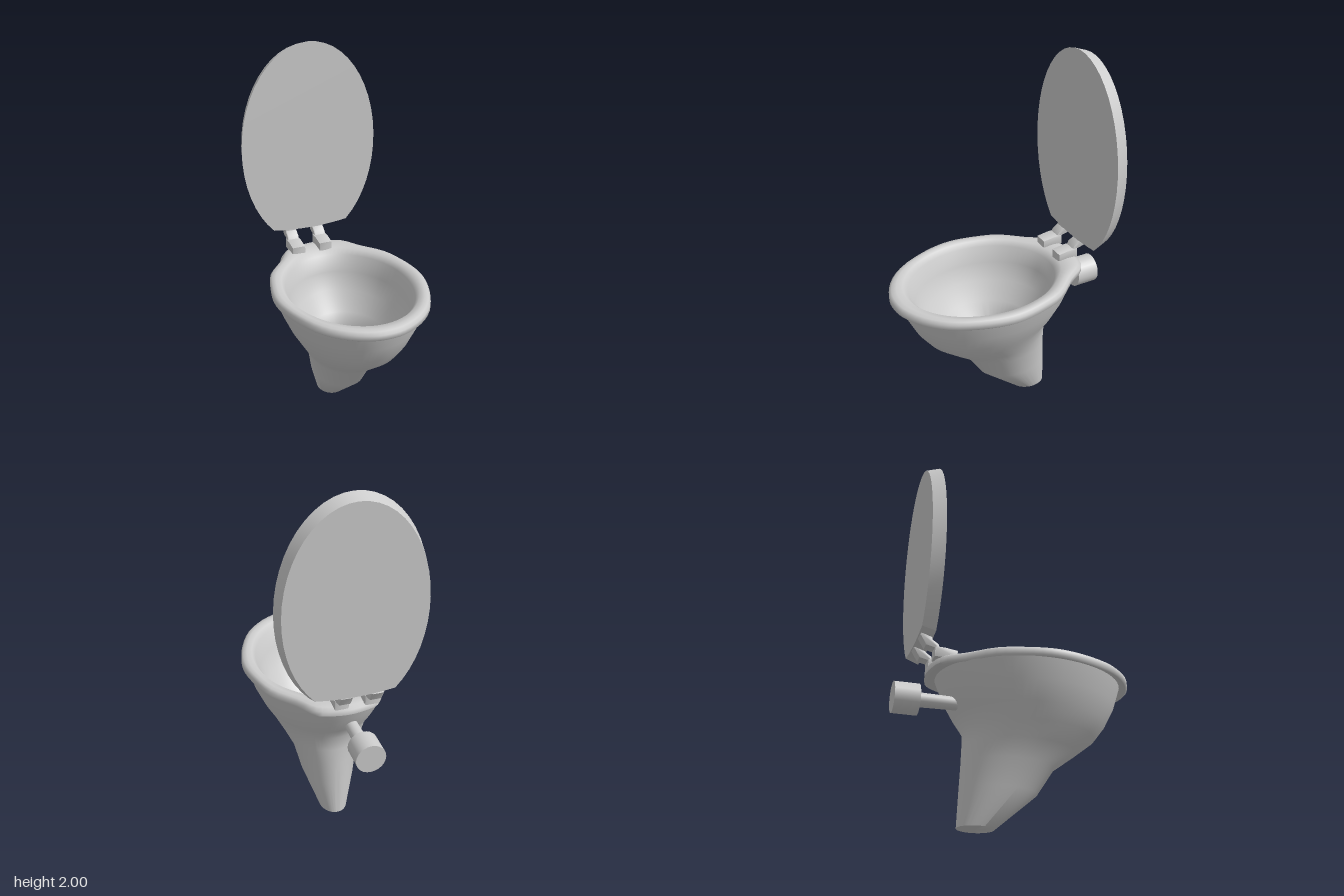
import * as THREE from 'three';
import { toCreasedNormals } from 'three/addons/utils/BufferGeometryUtils.js';

const material = new THREE.MeshStandardMaterial({ color: 0xcccccc });

function add(parent, name, geometry) {
  const mesh = new THREE.Mesh(geometry, material);
  mesh.name = name;
  parent.add(mesh);
  return mesh;
}

// Skin a list of closed rings (each running from the front towards +x).
function loft(rings, crease) {
  const n = rings[0].length;
  const index = [];
  for (let r = 0; r < rings.length - 1; r++) {
    for (let i = 0; i < n; i++) {
      const j = (i + 1) % n;
      const a = r * n + i, b = r * n + j, c = b + n, d = a + n;
      index.push(a, b, c, a, c, d);
    }
  }
  const geometry = new THREE.BufferGeometry().setFromPoints(rings.flat());
  geometry.setIndex(index);
  return toCreasedNormals(geometry, crease);
}

// Half of the rim outline as [x, z], from the front to the back.
const halfRim = [
  [0, 0.63], [0.08, 0.62], [0.2, 0.56], [0.3, 0.46], [0.37, 0.32], [0.41, 0.18],
  [0.415, 0.08], [0.39, -0.05], [0.345, -0.18], [0.24, -0.31], [0.165, -0.42], [0.08, -0.45], [0, -0.46],
];

function createBowl() {
  const mirrored = halfRim.slice(1, -1).reverse().map(([x, z]) => [-x, z]);
  const curve = new THREE.CatmullRomCurve3(
    [...halfRim, ...mirrored].map(([x, z]) => new THREE.Vector3(x, 0, z)), true);
  const outline = curve.getPoints(72).slice(0, -1);
  const angles = outline.map((p) => Math.atan2(p.x / 0.333, (p.z - 0.11) / 0.413));

  // Elliptical section from its height, front, back and half width.
  const section = ([y, front, back, half]) => angles.map((a) => new THREE.Vector3(
    half * Math.sin(a), y, (front + back) / 2 + (front - back) / 2 * Math.cos(a)));
  const opening = section([0, 0.523, -0.303, 0.333]);
  // Rim ring: t = 0 on the outer outline, 1 on the opening.
  const rim = ([t, y]) => outline.map((p, i) => p.clone().lerp(opening[i], t).setY(y));

  const outside = [
    [0, -0.185, -0.185, 0], [0, -0.09, -0.28, 0.075], [0.19, 0.13, -0.27, 0.143],
    [0.33, 0.22, -0.262, 0.175], [0.42, 0.34, -0.258, 0.222], [0.5, 0.44, -0.258, 0.268],
    [0.58, 0.5, -0.31, 0.315], [0.68, 0.55, -0.365, 0.36], [0.785, 0.582, -0.405, 0.39],
  ];
  const rimProfile = [[0.1, 0.78], [0, 0.787], [0, 0.815], [0.15, 0.829], [0.4, 0.832], [0.75, 0.827], [1, 0.8]];
  const inside = [
    [0.7, 0.49, -0.285, 0.315], [0.6, 0.44, -0.245, 0.275], [0.5, 0.35, -0.165, 0.215],
    [0.42, 0.24, -0.115, 0.165], [0.34, 0.13, -0.15, 0.12], [0.25, 0.01, -0.2, 0.09], [0.24, -0.1, -0.1, 0],
  ];
  return loft([...outside.map(section), ...rimProfile.map(rim), ...inside.map(section)], 1.1);
}

// Oval plate with a blunt lower end, narrowing towards its back face.
function createLid() {
  const shape = new THREE.Shape();
  const cut = Math.asin(0.22 / 0.39);
  const steps = 40;
  for (let i = 0; i <= steps; i++) {
    const a = -Math.PI / 2 + cut + (2 * Math.PI - 2 * cut) * i / steps;
    const x = 0.39 * Math.cos(a), y = 1.415 + 0.585 * Math.sin(a);
    if (i === 0) shape.moveTo(x, y);
    else shape.lineTo(x, y);
  }
  shape.quadraticCurveTo(0, 0.9, 0.22, 1.415 - 0.585 * Math.cos(cut));
  const geometry = new THREE.ExtrudeGeometry(shape, { depth: 0.07, bevelEnabled: false, curveSegments: 8 });
  const p = geometry.attributes.position;
  for (let i = 0; i < p.count; i++) {
    if (p.getZ(i) < 0.01) p.setXY(i, p.getX(i) * 0.95, 1.44 + (p.getY(i) - 1.44) * 0.956);
  }
  geometry.translate(-0.003, 0, -0.53);
  return toCreasedNormals(geometry, 0.6);
}

// Flat base block with a bent arm reaching up to the lid.
function createHinge(x, front) {
  const hinge = new THREE.Group();
  hinge.name = 'hinge';
  const extrudeSide = (points, width) => {
    const shape = new THREE.Shape(points.map(([z, y]) => new THREE.Vector2(-z, y)));
    const g = new THREE.ExtrudeGeometry(shape, {
      depth: width - 0.016, bevelSize: 0.008, bevelThickness: 0.008, bevelOffset: -0.008, bevelSegments: 2,
    });
    g.translate(0, 0, -width / 2 + 0.008);
    g.rotateY(Math.PI / 2);
    return toCreasedNormals(g, 0.7);
  };
  add(hinge, 'hingeBase', extrudeSide(
    [[front, 0.82], [-0.45, 0.82], [-0.45, 0.877], [-0.4, 0.878], [front, 0.868]], 0.078));
  add(hinge, 'hingeArm', extrudeSide(
    [[-0.41, 0.85], [-0.44, 0.868], [-0.495, 0.88], [-0.527, 0.935], [-0.515, 0.955], [-0.465, 0.955],
      [-0.46, 0.915], [-0.43, 0.895]].reverse(), 0.068));
  hinge.position.x = x;
  return hinge;
}

export function createModel() {
  const model = new THREE.Group();
  model.name = 'toilet';
  add(model, 'bowlAndRim', createBowl());
  add(model, 'lid', createLid());
  model.add(createHinge(-0.122, -0.33), createHinge(0.04, -0.33));

  // Inlet pipe: narrow stem with a wide collar at the back.
  const pipe = new THREE.Group();
  pipe.name = 'inletPipe';
  const stem = add(pipe, 'pipeStem', new THREE.CylinderGeometry(0.034, 0.038, 0.22, 24));
  stem.position.z = -0.4;
  const collar = add(pipe, 'pipeCollar', new THREE.CylinderGeometry(0.081, 0.081, 0.13, 24));
  collar.position.z = -0.57;
  stem.rotation.x = collar.rotation.x = Math.PI / 2;
  pipe.position.set(-0.055, 0.62, 0);
  model.add(pipe);
  return model;
}
